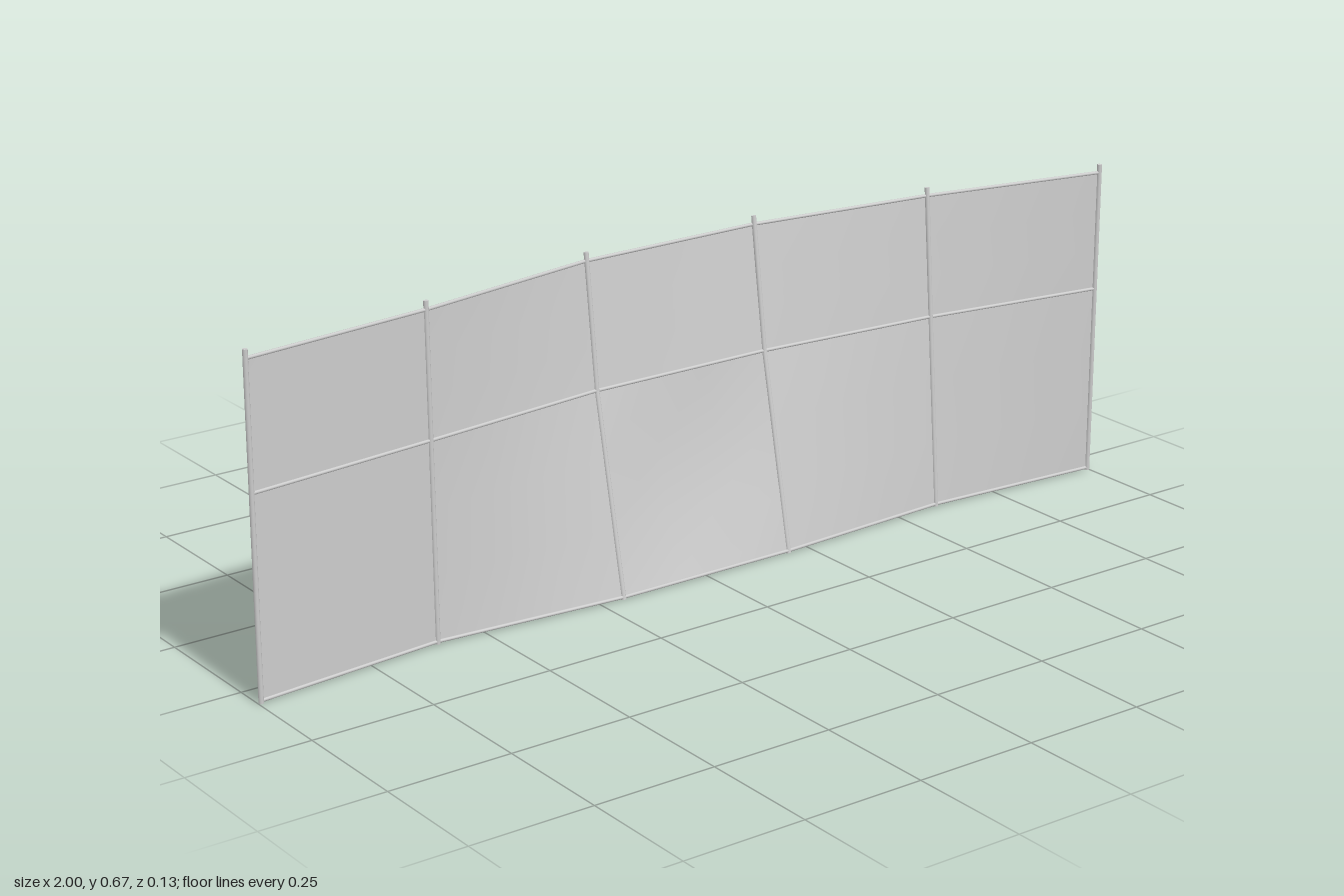
import * as THREE from 'three';

// post stations: x, and z at the bottom, middle and top rails
const POSTS = [
  [-0.995, 0.064, 0.064, 0.064],
  [-0.6, 0.028, 0.022, 0.018],
  [-0.2, 0.06, -0.024, -0.055],
  [0.2, 0.06, -0.024, -0.061],
  [0.6, 0.038, 0.006, -0.014],
  [0.995, 0.064, 0.064, 0.064],
];
const RAIL_Y = [0.005, 0.4, 0.649];
const TOP_Y = 0.666;

export function createModel() {
  const group = new THREE.Group();
  const grey = new THREE.MeshStandardMaterial({ color: 0xcccccc });
  const cloth = new THREE.MeshStandardMaterial({ color: 0xcccccc, side: THREE.DoubleSide });
  const point = (i, r) => new THREE.Vector3(POSTS[i][0], RAIL_Y[r], POSTS[i][r + 1]);

  // round bar between two points
  function bar(name, a, b, radius, parent) {
    const dir = b.clone().sub(a);
    const mesh = new THREE.Mesh(new THREE.CylinderGeometry(radius, radius, dir.length(), 10), grey);
    mesh.position.copy(a).add(b).multiplyScalar(0.5);
    mesh.quaternion.setFromUnitVectors(new THREE.Vector3(0, 1, 0), dir.normalize());
    mesh.name = name;
    parent.add(mesh);
  }

  // posts, standing slightly proud of the top rail
  POSTS.forEach((p, i) => {
    const post = new THREE.Group();
    post.name = 'post';
    const foot = point(i, 0).setY(0);
    const tip = point(i, 2).setY(TOP_Y);
    bar('postLower', foot, point(i, 1), 0.005, post);
    bar('postUpper', point(i, 1), tip, 0.005, post);
    group.add(post);
  });

  // horizontal rails
  ['bottomRail', 'middleRail', 'topRail'].forEach((name, r) => {
    const rail = new THREE.Group();
    rail.name = name;
    for (let i = 0; i < POSTS.length - 1; i++) bar(name + 'Section', point(i, r), point(i + 1, r), 0.0035, rail);
    group.add(rail);
  });

  // thin infill panels; the lower middle one bulges backwards
  for (let i = 0; i < POSTS.length - 1; i++) {
    for (let r = 0; r < 2; r++) {
      const bulge = i === 2 && r === 0 ? 0.014 : 0;
      const geometry = new THREE.PlaneGeometry(1, 1, 3, 3);
      const pos = geometry.attributes.position;
      for (let k = 0; k < pos.count; k++) {
        const u = pos.getX(k) + 0.5;
        const v = pos.getY(k) + 0.5;
        const low = point(i, r).lerp(point(i + 1, r), u);
        const p = low.lerp(point(i, r + 1).lerp(point(i + 1, r + 1), u), v);
        const inside = u > 0.1 && u < 0.9 && v > 0.1 && v < 0.9;
        pos.setXYZ(k, p.x, p.y, p.z - (inside ? bulge : 0));
      }
      geometry.computeVertexNormals();
      const panel = new THREE.Mesh(geometry, cloth);
      panel.name = r ? 'upperPanel' : 'lowerPanel';
      group.add(panel);
    }
  }
  return group;
}
